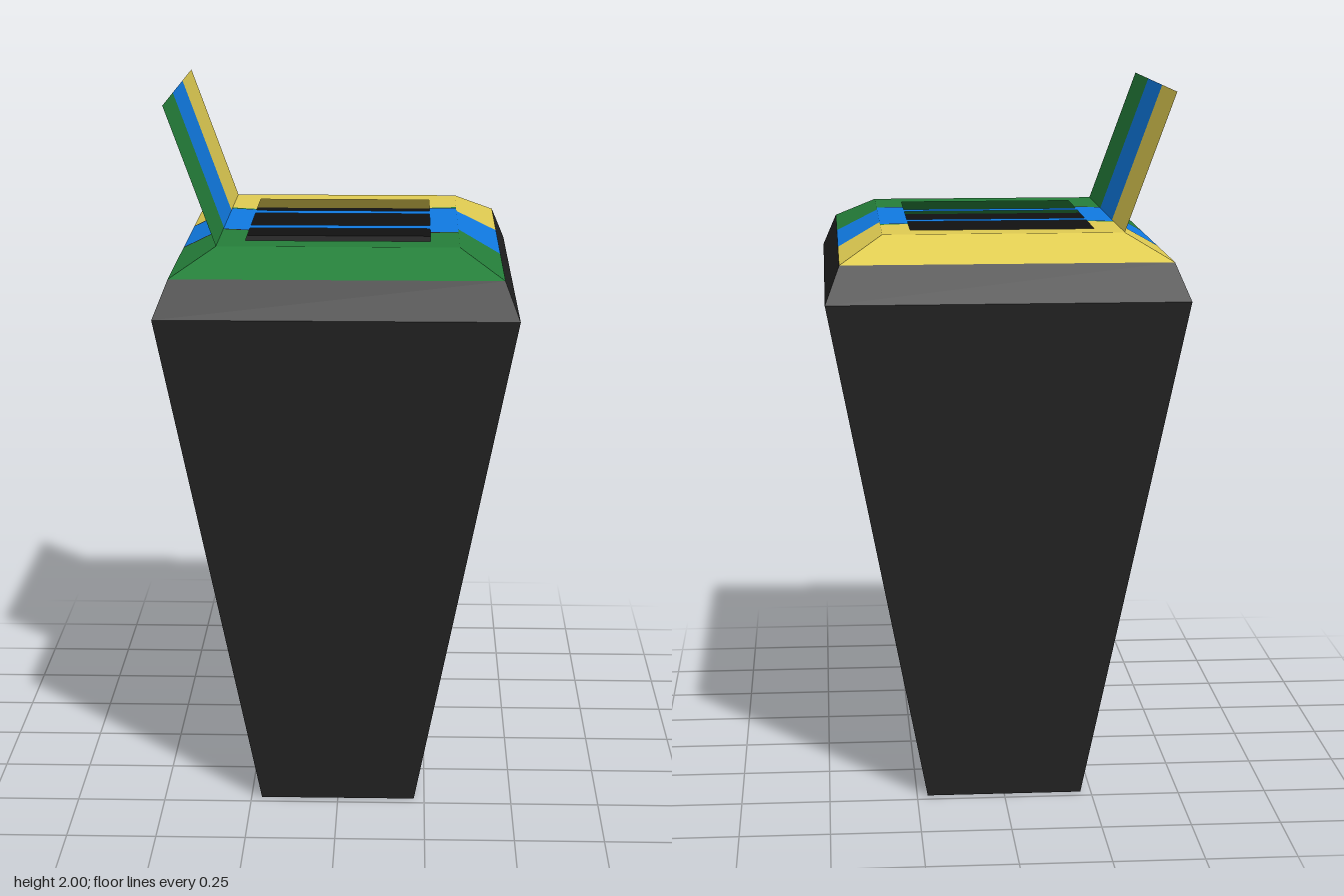
import * as THREE from 'three';

const mat = (name, color) => {
  const m = new THREE.MeshStandardMaterial({ color, side: THREE.DoubleSide });
  m.name = name;
  return m;
};

const TOP = 1.615, EAVE = 1.55;          // lid heights
const IX = 0.335, IZ = 0.44;             // flat top half sizes
const OX = 0.455, OZ = 0.58;             // lid outer half sizes

// height of the hipped lid at a point
const lidHeight = (x, z) =>
  TOP - (TOP - EAVE) * Math.max(0, (Math.abs(x) - IX) / (OX - IX), (Math.abs(z) - IZ) / (OZ - IZ));

// four-sided open tapered shell between two rectangles
function taperedShell(y0, x0, z0, y1, x1, z1) {
  const geo = new THREE.CylinderGeometry(Math.SQRT2, Math.SQRT2, 1, 4, 1, true, Math.PI / 4).toNonIndexed();
  const p = geo.attributes.position;
  for (let i = 0; i < p.count; i++) {
    const up = p.getY(i) > 0;
    p.setXYZ(i, Math.sign(p.getX(i)) * (up ? x1 : x0), up ? y1 : y0, Math.sign(p.getZ(i)) * (up ? z1 : z0));
  }
  geo.computeVertexNormals();
  return geo;
}

// flat piece of the lid, outlined in x and z and dropped onto the lid surface
function lidPiece(outline, hole) {
  const points = (list) => list.map(([x, z]) => new THREE.Vector2(x, -z));
  const shape = new THREE.Shape(points(outline));
  if (hole) shape.holes.push(new THREE.Path(points(hole)));
  const geo = new THREE.ShapeGeometry(shape).rotateX(-Math.PI / 2);
  const p = geo.attributes.position;
  for (let i = 0; i < p.count; i++) p.setY(i, lidHeight(p.getX(i), p.getZ(i)));
  geo.computeVertexNormals();
  return geo;
}

export function createModel() {
  const group = new THREE.Group();
  group.name = 'recyclingBin';
  const black = mat('black plastic', 0x222222);
  const green = mat('green', 0x257f3a);
  const blue = mat('blue', 0x107ae2);
  const yellow = mat('yellow', 0xe0cc52);

  const add = (name, geo, material) => {
    const mesh = new THREE.Mesh(geo, material);
    mesh.name = name;
    group.add(mesh);
    return mesh;
  };

  // hollow body, floor and chamfered rim
  add('body', taperedShell(0, 0.22, 0.47, 1.45, 0.495, 0.64), black);
  add('floor', new THREE.PlaneGeometry(0.44, 0.94).rotateX(Math.PI / 2), black);
  add('rim', taperedShell(1.45, 0.495, 0.64, EAVE, OX, OZ), black);

  // front and back slopes
  add('frontSlope', lidPiece([[-IX, IZ], [IX, IZ], [OX, OZ], [-OX, OZ]]), green);
  add('backSlope', lidPiece([[-IX, -IZ], [IX, -IZ], [OX, -OZ], [-OX, -OZ]]), yellow);

  // side slopes, as bands given by z at the inner and outer edge
  const sideSlope = (side, bands) => {
    for (let i = 0; i < bands.length - 1; i++) {
      const [a, b, material] = bands[i], [c, d] = bands[i + 1];
      add('sideSlope', lidPiece([[side * IX, a], [side * IX, c], [side * OX, d], [side * OX, b]]), material);
    }
  };
  sideSlope(1, [[-IZ, -OZ, yellow], [-0.155, -0.195, blue], [0.155, 0.187, green], [IZ, OZ]]);
  sideSlope(-1, [[-IZ, -OZ, yellow], [-0.195, -0.245, black], [-0.18, -0.23, blue],
    [0.15, 0.105, black], [0.165, 0.12, green], [IZ, OZ]]);

  // flat top around three openings
  const L = -0.26, R = 0.255;
  add('backTop', lidPiece([[-IX, -IZ], [IX, -IZ], [IX, -0.222], [R, -0.207], [R, -0.35],
    [L, -0.35], [L, -0.173], [-IX, -0.197]]), yellow);
  add('middleTop', lidPiece([[-IX, -0.178], [L, -0.157], [L, -0.15], [R, -0.15], [R, -0.193], [IX, -0.2],
    [IX, 0.2], [R, 0.203], [R, 0.15], [L, 0.15], [L, 0.178], [-IX, 0.163]],
  [[L, -0.1], [R, -0.1], [R, 0.1], [L, 0.1]]), blue);
  add('frontTop', lidPiece([[-IX, IZ], [IX, IZ], [IX, 0.21], [R, 0.215], [R, 0.35],
    [L, 0.35], [L, 0.19], [-IX, 0.173]]), green);

  // narrow seams between the coloured tops
  const seam = (name, xa, a0, a1, xb, b0, b1, material) =>
    add(name, lidPiece([[xa, a0], [xb, b0], [xb, b1], [xa, a1]]), material);
  seam('frontSeam', -IX, 0.163, 0.173, L, 0.178, 0.19, black);
  seam('frontSeam', R, 0.203, 0.215, IX, 0.2, 0.21, black);
  seam('backSeam', -IX, -0.184, -0.178, L, -0.163, -0.157, black);
  seam('backSeam', R, -0.2, -0.193, IX, -0.207, -0.2, black);
  seam('greenSeam', -IX, -0.197, -0.184, L, -0.173, -0.163, green);
  seam('greenSeam', R, -0.207, -0.2, IX, -0.222, -0.207, green);

  // raised sign panel hinged along one side, in three colours
  const rise = 2 - TOP, lean = 0.14;
  for (const [name, z0, z1, material] of [['backSign', -IZ, -0.147, yellow],
    ['middleSign', -0.147, 0.147, blue], ['frontSign', 0.147, IZ, green]]) {
    const sign = add(name, new THREE.PlaneGeometry(z1 - z0, Math.hypot(rise, lean)).rotateY(Math.PI / 2), material);
    sign.rotation.z = Math.atan2(lean, rise);
    sign.position.set(-IX - lean / 2, TOP + rise / 2, (z0 + z1) / 2);
  }
  return group;
}
